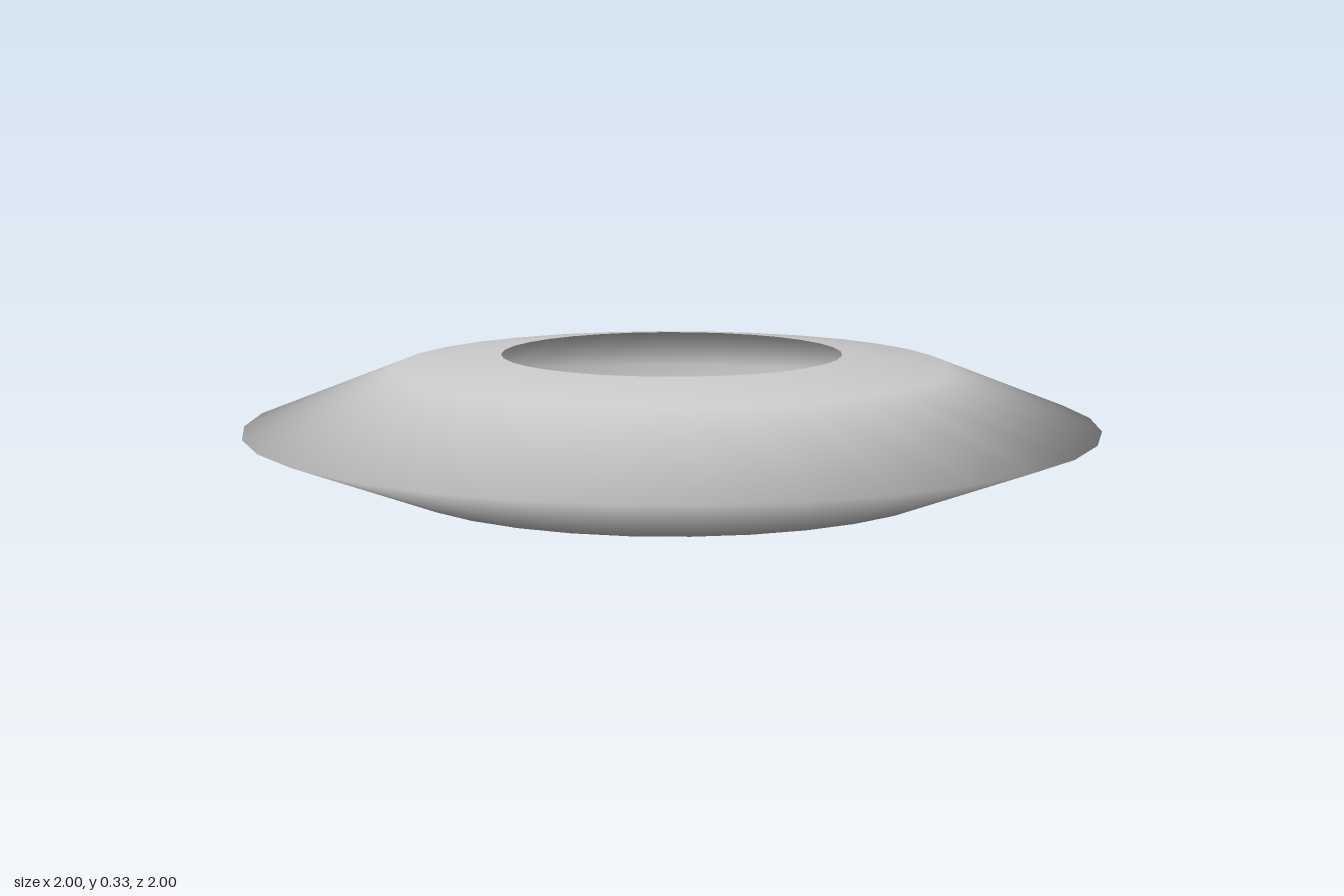
import * as THREE from 'three';

export function createModel() {
  const group = new THREE.Group();
  group.name = 'flyingRing';

  // Half-section (radius, height) of the thin shell, mirrored about its rim
  const middle = 0.165;
  const upper = [[0.65, 0.137], [0.4, 0.165]];
  const profile = [
    ...upper.map(([r, h]) => new THREE.Vector2(r, middle - h)).reverse(),
    new THREE.Vector2(1, middle),
    ...upper.map(([r, h]) => new THREE.Vector2(r, middle + h)),
  ];

  // Hollow ring, open along its inner edge
  const shell = new THREE.Mesh(
    new THREE.LatheGeometry(profile, 32),
    new THREE.MeshStandardMaterial({ color: 0xcccccc, side: THREE.DoubleSide })
  );
  shell.name = 'ringShell';
  group.add(shell);
  return group;
}
